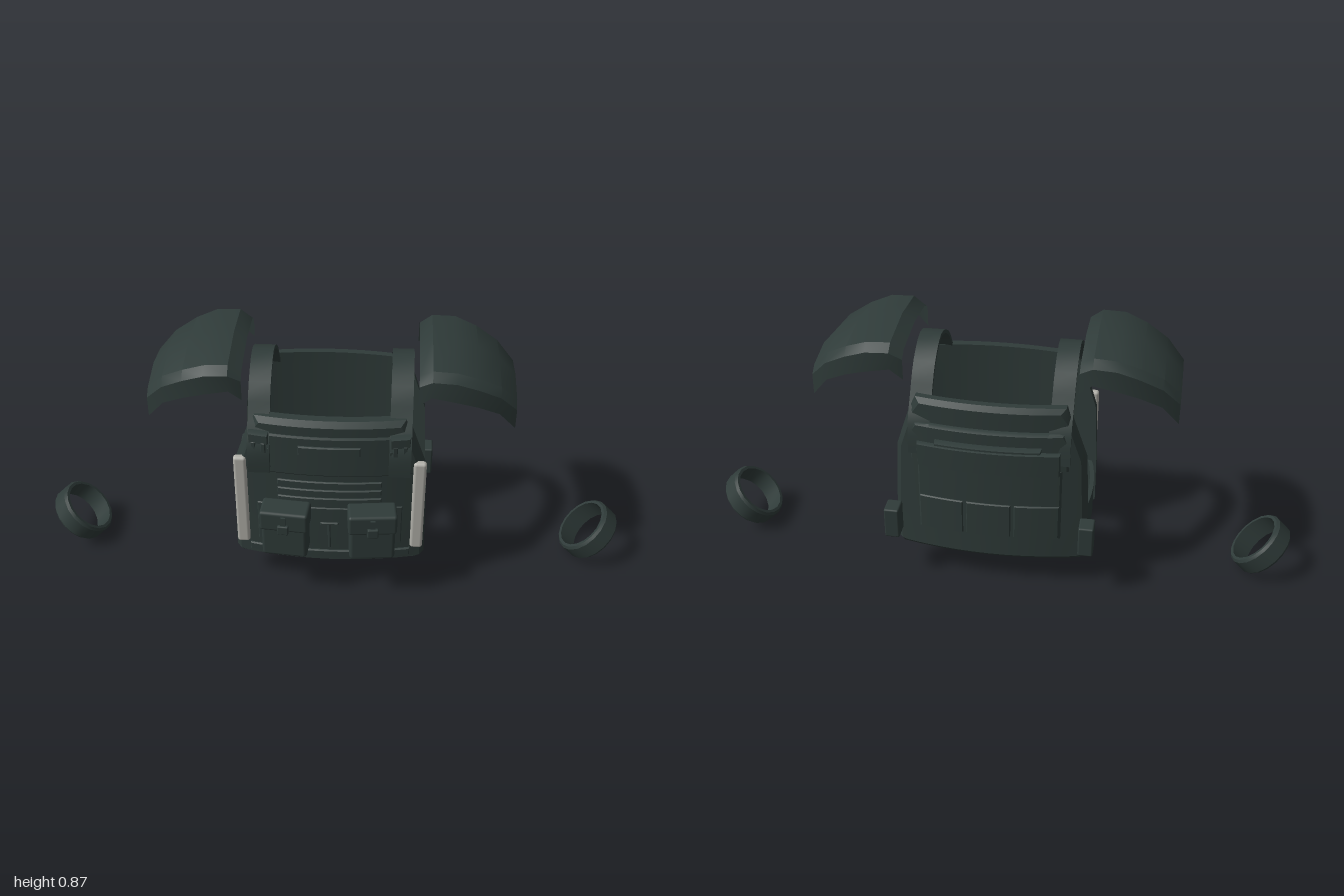
import * as THREE from 'three';
import { toCreasedNormals } from 'three/addons/utils/BufferGeometryUtils.js';
import { RoundedBoxGeometry } from 'three/addons/geometries/RoundedBoxGeometry.js';

const fabric = new THREE.MeshStandardMaterial({ color: 0x2f3b39 });
fabric.name = 'dark fabric';
const shell = new THREE.MeshStandardMaterial({ color: 0x2f3b39, side: THREE.DoubleSide });
shell.name = 'dark shell';
const pale = new THREE.MeshStandardMaterial({ color: 0xb2b1aa });
pale.name = 'pale grey';

function add(parent, name, geometry, material = fabric) {
  const mesh = new THREE.Mesh(geometry, material);
  mesh.name = name;
  parent.add(mesh);
  return mesh;
}

// Bow of the vest surface: falls back towards the sides
const bow = (x) => -0.04 * (x / 0.32) ** 2;

// Curved panel: rows of [y, halfWidth] from bottom to top, inner depth z, thickness t
function panel(rows, z, t, { cx = 0, bevel = 0.006, back = false } = {}) {
  const n = rows.length - 1;
  const g = new THREE.BoxGeometry(1, 1, 1, 10, n, 2);
  const p = g.attributes.position;
  const yMid = (rows[0][0] + rows[n][0]) / 2;
  for (let i = 0; i < p.count; i++) {
    const layer = p.getZ(i) + 0.5;
    let [y, w] = rows[Math.round((p.getY(i) + 0.5) * n)];
    if (layer > 0.9) {
      w -= bevel;
      if (y === rows[0][0] || y === rows[n][0]) y += y < yMid ? bevel : -bevel;
    }
    const x = cx + p.getX(i) * 2 * w;
    const depth = layer < 0.1 ? 0 : layer > 0.9 ? 1 : 0.6;
    p.setXYZ(i, x, y, z + bow(x) + depth * t);
  }
  if (back) g.rotateY(Math.PI);
  return toCreasedNormals(g, 0.5);
}

// Straight-sided panel between two heights
const patch = (y0, y1, w, z, t, o) => panel([[y0, w], [y1, w]], z, t, { bevel: 0.003, ...o });

// Flat webbing following a 2D path, extruded by its width
function ribbon(points, thick, width) {
  const path = new THREE.SplineCurve(points.map(([a, b]) => new THREE.Vector2(a, b)));
  const inner = [], outer = [];
  for (let i = 0; i <= 24; i++) {
    const c = path.getPoint(i / 24), d = path.getTangent(i / 24);
    const side = new THREE.Vector2(-d.y, d.x).multiplyScalar(thick / 2);
    inner.push(c.clone().sub(side));
    outer.push(c.clone().add(side));
  }
  const shape = new THREE.Shape([...inner, ...outer.reverse()]);
  return toCreasedNormals(new THREE.ExtrudeGeometry(shape, { depth: width, bevelEnabled: false }), 0.5);
}

// Shoulder guard: faceted shell lofted outward from the neck, for side s
function shoulderGuard(s) {
  // x, crest height, half length in z, skirt drop
  const stations = [
    [0.275, 0.855, 0.185, 0.11], [0.315, 0.88, 0.195, 0.097], [0.39, 0.877, 0.197, 0.107],
    [0.46, 0.85, 0.186, 0.103], [0.53, 0.81, 0.165, 0.1], [0.585, 0.75, 0.14, 0.11], [0.585, 0.68, 0.14, 0.04],
  ];
  const pos = [], index = [], cols = 7;
  for (const [x, y, h, drop] of stations) {
    const half = [[h, drop], [h, 0.04], [h - 0.03, 0.018]];
    const section = [...half.map(([z, d]) => [-z, d]), [0, 0], ...half.reverse()];
    for (const [z, d] of section) pos.push(s * x, y - d, z - 0.025);
  }
  for (let r = 0; r < stations.length - 1; r++) {
    for (let c = 0; c < cols - 1; c++) {
      const a = r * cols + c, b = a + cols;
      if (s > 0) index.push(a, a + 1, b, b, a + 1, b + 1);
      else index.push(a, b, a + 1, b, b + 1, a + 1);
    }
  }
  const g = new THREE.BufferGeometry();
  g.setAttribute('position', new THREE.Float32BufferAttribute(pos, 3));
  g.setIndex(index);
  return toCreasedNormals(g, 0.45);
}

export function createModel() {
  const model = new THREE.Group();
  model.name = 'armouredVest';

  // Main plates
  const outline = [[0.105, 0.3], [0.125, 0.32], [0.3, 0.318], [0.5, 0.308], [0.57, 0.285], [0.64, 0.262], [0.69, 0.24]];
  add(model, 'frontPlate', panel(outline, 0.155, 0.045, { bevel: 0.016 }));
  add(model, 'backPlate', panel(outline, 0.212, 0.036, { bevel: 0.016, back: true }));

  // Front: upper flap, label, webbing rows, lower panels
  const front = new THREE.Group();
  front.name = 'frontDetails';
  model.add(front);
  add(front, 'upperFlap', panel([[0.485, 0.285], [0.53, 0.285], [0.6, 0.262], [0.64, 0.245]], 0.195, 0.012));
  add(front, 'nameTab', patch(0.573, 0.607, 0.1, 0.203, 0.012));
  for (const y of [0.438, 0.404, 0.37]) add(front, 'webbingRow', patch(y, y + 0.022, 0.17, 0.195, 0.011));
  add(front, 'middlePanel', patch(0.19, 0.35, 0.24, 0.195, 0.009));
  add(front, 'lowerStrip', patch(0.135, 0.165, 0.27, 0.195, 0.013));
  add(front, 'centreTab', patch(0.18, 0.285, 0.005, 0.198, 0.011));
  add(front, 'centreTabBar', patch(0.28, 0.29, 0.03, 0.198, 0.011));

  // Back: pocket, cells, top band and drag handle
  const back = new THREE.Group();
  back.name = 'backDetails';
  model.add(back);
  add(back, 'backPocket', panel([[0.2, 0.235], [0.47, 0.235]], 0.24, 0.02, { back: true }));
  for (const cx of [-0.157, 0, 0.157]) {
    add(back, 'pocketCell', patch(0.21, 0.335, 0.073, 0.255, 0.011, { cx, back: true }));
  }
  add(back, 'upperBand', panel([[0.47, 0.255], [0.58, 0.255], [0.61, 0.24]], 0.24, 0.028, { back: true }));
  add(back, 'bandPatch', patch(0.465, 0.548, 0.23, 0.262, 0.024, { back: true }));
  add(back, 'dragHandle', patch(0.553, 0.565, 0.17, 0.262, 0.03, { back: true }));

  for (const s of [1, -1]) {
    const side = new THREE.Group();
    side.name = s > 0 ? 'leftSide' : 'rightSide';
    model.add(side);

    // Shoulder strap over the top, with its buckle
    const strap = ribbon([[0.207, 0.5], [0.204, 0.6], [0.145, 0.69], [0.085, 0.765], [-0.02, 0.81],
      [-0.12, 0.765], [-0.185, 0.68], [-0.235, 0.6], [-0.245, 0.5]], 0.012, 0.07);
    strap.rotateY(-Math.PI / 2);
    strap.translate(s * 0.225 + 0.035, 0, 0);
    add(side, 'shoulderStrap', strap);
    add(side, 'strapEnd', patch(0.51, 0.6, 0.035, 0.205, 0.022, { cx: s * 0.225 }));
    add(side, 'strapBuckle', patch(0.612, 0.65, 0.032, 0.205, 0.026, { cx: s * 0.225 }));
    for (const dx of [-0.016, 0.016]) {
      add(side, 'bucklePin', patch(0.58, 0.62, 0.008, 0.222, 0.011, { cx: s * 0.225 + dx }));
    }

    // Pale light strip at the edge of the front
    add(side, 'lightStrip', new RoundedBoxGeometry(0.042, 0.36, 0.026, 3, 0.01), pale)
      .position.set(s * 0.291, 0.355, 0.175);

    // Waist band between the plates and its rear clip
    const band = ribbon([[s * 0.285, 0.15], [s * 0.305, 0.08], [s * 0.315, -0.025],
      [s * 0.31, -0.12], [s * 0.29, -0.205]], 0.014, 0.113);
    band.rotateX(Math.PI / 2);
    band.translate(0, 0.284, 0);
    add(side, 'waistBand', band);
    add(side, 'waistClip', new RoundedBoxGeometry(0.05, 0.11, 0.064, 2, 0.006))
      .position.set(s * 0.322, 0.228, -0.247);

    // Front pouch with lid and clasp, turned to follow the chest
    const pouch = new THREE.Group();
    pouch.name = 'pouch';
    pouch.position.set(s * 0.142, 0.284, 0.232);
    pouch.rotation.y = s * 0.09;
    side.add(pouch);
    add(pouch, 'pouchBody', new RoundedBoxGeometry(0.15, 0.186, 0.078, 2, 0.012));
    add(pouch, 'pouchLid', new RoundedBoxGeometry(0.16, 0.075, 0.084, 2, 0.01)).position.set(0, 0.056, 0.002);
    add(pouch, 'claspStrap', new THREE.BoxGeometry(0.016, 0.065, 0.008)).position.set(0, 0.05, 0.046);
    add(pouch, 'clasp', new RoundedBoxGeometry(0.036, 0.034, 0.014, 2, 0.004)).position.set(0, 0.034, 0.05);

    // Shoulder guard
    add(side, 'shoulderGuard', shoulderGuard(s), shell);

    // Arm band: bevelled ring tilted outward
    const ring = [[0.088, -0.036], [0.098, -0.036], [0.105, -0.027], [0.105, 0.027],
      [0.098, 0.036], [0.088, 0.036], [0.088, -0.036]].map(([r, y]) => new THREE.Vector2(r, y));
    const armBand = add(side, 'armBand', toCreasedNormals(new THREE.LatheGeometry(ring, 18), 0.5), shell);
    armBand.position.set(s * 0.9, 0.102, -0.025);
    armBand.rotation.z = s * Math.PI / 4;
  }
  return model;
}
